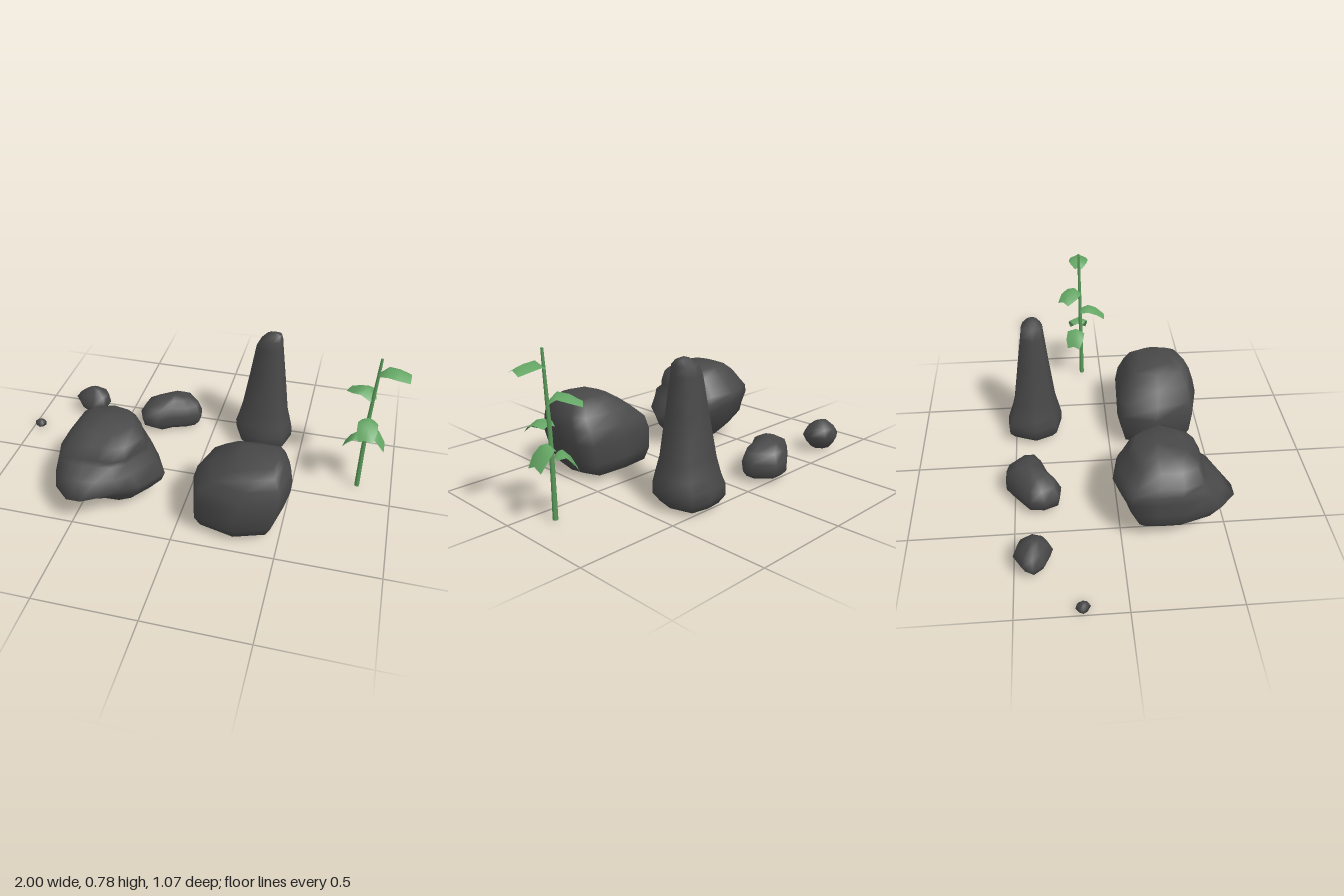
import * as THREE from 'three';

const rockMat = new THREE.MeshStandardMaterial({ color: 0x484848 });
const stemMat = new THREE.MeshStandardMaterial({ color: 0x5a995a });
const leafMat = new THREE.MeshStandardMaterial({ color: 0x64a664, side: THREE.DoubleSide });

function build(points, index, material, name) {
  const g = new THREE.BufferGeometry();
  g.setAttribute('position', new THREE.Float32BufferAttribute(points.flat(), 3));
  g.setIndex(index);
  g.computeVertexNormals();
  const mesh = new THREE.Mesh(g, material);
  mesh.name = name;
  return mesh;
}

// Rock: one plan outline [x, z] fitted into each level's box [y, x0, x1, z0, z1].
// bottom and top are the closing points; push(x, y, z) may shift a vertex.
function rock(name, plan, bottom, levels, top, push = (x, y, z) => [x, y, z]) {
  const xs = plan.map(p => p[0]), zs = plan.map(p => p[1]);
  const ax = Math.min(...xs), az = Math.min(...zs);
  const w = Math.max(...xs) - ax, d = Math.max(...zs) - az;
  const pts = [bottom], idx = [], n = plan.length;
  for (const [y, x0, x1, z0, z1] of levels)
    for (const [x, z] of plan)
      pts.push(push(x0 + (x - ax) / w * (x1 - x0), y, z0 + (z - az) / d * (z1 - z0)));
  pts.push(top);
  const last = pts.length - 1, end = last - n;
  for (let i = 0; i < n; i++) {
    const j = (i + 1) % n;
    idx.push(0, 1 + i, 1 + j, last, end + j, end + i);
    for (let k = 0; k < levels.length - 1; k++) {
      const a = 1 + k * n, b = a + n;
      idx.push(a + i, b + i, a + j, b + i, b + j, a + j);
    }
  }
  return build(pts, idx, rockMat, name);
}

// Leaf: folded strip leaving (x, z) along an angle; sections are [distance, ridge y, half width]
function leaf(name, x, z, angle, sections) {
  const c = Math.cos(angle), s = Math.sin(angle), pts = [], idx = [];
  sections.forEach(([d, y, h], k) => {
    for (const t of [-1, 0, 1])
      pts.push([x + c * d - s * h * t, y - Math.abs(t) * h * 0.45, z + s * d + c * h * t]);
    if (k) for (const i of [0, 1]) {
      const a = (k - 1) * 3 + i, b = a + 3;
      idx.push(a, a + 1, b, b, a + 1, b + 1);
    }
  });
  return build(pts, idx, leafMat, name);
}

export function createModel() {
  const model = new THREE.Group();
  model.name = 'rocksAndPlant';

  // Large creased boulder with a blunt nose at the front
  const nose = (x, y, z) => {
    const reach = Math.max(0, 0.14 - Math.abs(y - 0.185) * 1.15);
    const side = Math.max(0, 1 - Math.max(0, Math.abs(x + 0.46) - 0.05) / 0.17);
    return [x, y, z > 0.3 ? z + reach * side : z];
  };
  model.add(rock('creasedBoulder',
    [[-0.61, 0.04], [-0.52, 0], [-0.4, -0.03], [-0.24, 0], [-0.17, 0.08], [-0.1, 0.22], [-0.19, 0.36],
      [-0.26, 0.4], [-0.35, 0.4], [-0.43, 0.4], [-0.5, 0.4], [-0.58, 0.38], [-0.62, 0.28], [-0.62, 0.15]],
    [-0.36, 0.005, 0.21],
    [[0.025, -0.5, -0.24, 0.1, 0.31], [0.07, -0.57, -0.18, 0.06, 0.36], [0.13, -0.62, -0.12, 0.02, 0.38],
      [0.18, -0.62, -0.1, 0, 0.4], [0.25, -0.625, -0.15, -0.03, 0.41], [0.29, -0.62, -0.18, -0.02, 0.38],
      [0.32, -0.6, -0.19, 0, 0.39], [0.38, -0.56, -0.2, 0.04, 0.36], [0.423, -0.5, -0.26, 0.07, 0.3]],
    [-0.4, 0.437, 0.17], nose));

  // Large smooth boulder
  model.add(rock('smoothBoulder',
    [[0.1, 0.07], [0.28, 0.05], [0.47, 0.06], [0.51, 0.15], [0.53, 0.24], [0.49, 0.42],
      [0.31, 0.48], [0.1, 0.43], [0.05, 0.24]],
    [0.28, 0.003, 0.24],
    [[0.01, 0.2, 0.36, 0.17, 0.31], [0.037, 0.08, 0.47, 0.07, 0.44], [0.1, 0.05, 0.5, 0.055, 0.47],
      [0.2, 0.05, 0.525, 0.05, 0.485], [0.27, 0.07, 0.53, 0.065, 0.47], [0.33, 0.14, 0.52, 0.1, 0.45],
      [0.38, 0.22, 0.485, 0.13, 0.42], [0.403, 0.27, 0.46, 0.18, 0.36]],
    [0.36, 0.41, 0.27]));

  // Tall tapering stone
  model.add(rock('tallStone',
    [[0.19, -0.53], [0.29, -0.54], [0.4, -0.52], [0.44, -0.39], [0.41, -0.28], [0.31, -0.25],
      [0.18, -0.28], [0.13, -0.39]],
    [0.29, 0.005, -0.4],
    [[0.02, 0.17, 0.41, -0.515, -0.28], [0.06, 0.135, 0.44, -0.54, -0.25], [0.11, 0.13, 0.44, -0.535, -0.25],
      [0.16, 0.145, 0.43, -0.515, -0.262], [0.24, 0.165, 0.41, -0.495, -0.28], [0.45, 0.2, 0.385, -0.465, -0.305],
      [0.61, 0.225, 0.365, -0.442, -0.322], [0.66, 0.25, 0.36, -0.435, -0.328], [0.685, 0.28, 0.352, -0.405, -0.355]],
    [0.315, 0.696, -0.38]));

  // Low kidney-shaped stone
  model.add(rock('lowStone',
    [[-0.31, -0.49], [-0.24, -0.54], [-0.16, -0.54], [-0.08, -0.45], [-0.08, -0.39], [-0.14, -0.35],
      [-0.23, -0.32], [-0.3, -0.27], [-0.38, -0.28], [-0.41, -0.35], [-0.4, -0.42]],
    [-0.24, 0.01, -0.41],
    [[0.02, -0.36, -0.11, -0.51, -0.31], [0.05, -0.4, -0.085, -0.54, -0.28], [0.1, -0.41, -0.08, -0.54, -0.27],
      [0.15, -0.38, -0.1, -0.52, -0.3], [0.18, -0.32, -0.15, -0.48, -0.35]],
    [-0.23, 0.192, -0.42]));

  // Small stone and pebble
  const smallPlan = [[-0.79, -0.46], [-0.72, -0.5], [-0.65, -0.48], [-0.61, -0.41], [-0.63, -0.35],
    [-0.69, -0.32], [-0.78, -0.36], [-0.82, -0.41]];
  model.add(rock('smallStone', smallPlan, [-0.71, 0.008, -0.41],
    [[0.02, -0.77, -0.66, -0.455, -0.365], [0.05, -0.8, -0.635, -0.48, -0.335], [0.09, -0.82, -0.612, -0.5, -0.32],
      [0.13, -0.79, -0.63, -0.48, -0.345], [0.16, -0.75, -0.67, -0.44, -0.38]],
    [-0.71, 0.17, -0.41]));
  model.add(rock('pebble', smallPlan, [-0.967, 0.012, -0.202],
    [[0.014, -1, -0.934, -0.235, -0.168], [0.03, -0.995, -0.942, -0.228, -0.175],
      [0.041, -0.98, -0.952, -0.214, -0.188]],
    [-0.967, 0.045, -0.202]));

  // Plant: jointed stem, each segment slightly narrower than the one below
  const plant = new THREE.Group();
  plant.name = 'plant';
  const joints = [[0.828, 0.012], [0.83, 0.22], [0.834, 0.4], [0.842, 0.55], [0.85, 0.69], [0.855, 0.78]];
  for (let i = 0; i < joints.length - 1; i++) {
    const a = new THREE.Vector3(...joints[i], -0.112), b = new THREE.Vector3(...joints[i + 1], -0.112);
    const r = 0.0125 - i * 0.0012;
    const seg = new THREE.Mesh(new THREE.CylinderGeometry(r - 0.0015, r, a.distanceTo(b), 8), stemMat);
    seg.position.copy(a).lerp(b, 0.5);
    seg.quaternion.setFromUnitVectors(new THREE.Vector3(0, 1, 0), b.clone().sub(a).normalize());
    seg.name = 'stemSegment';
    plant.add(seg);
  }

  // Arching leaves
  plant.add(
    leaf('topLeaf', 0.853, -0.115, 0.04, [[0, 0.7, 0.02], [0.04, 0.735, 0.05], [0.09, 0.73, 0.053], [0.145, 0.712, 0.042]]),
    leaf('upperLeaf', 0.845, -0.118, Math.PI * 1.22, [[0, 0.55, 0.02], [0.04, 0.595, 0.05], [0.09, 0.583, 0.055], [0.145, 0.55, 0.035]]),
    leaf('frontLeaf', 0.836, -0.11, Math.PI / 2, [[0, 0.445, 0.03], [0.045, 0.464, 0.048], [0.09, 0.447, 0.048], [0.135, 0.405, 0.035]]),
    leaf('leftLeaf', 0.833, -0.125, 0, [[0, 0.35, 0.025], [0.03, 0.375, 0.05], [0.065, 0.345, 0.055], [0.098, 0.29, 0.045]]),
    leaf('rightLeaf', 0.83, -0.13, Math.PI * 1.1, [[0, 0.31, 0.025], [0.035, 0.335, 0.05], [0.07, 0.3, 0.05], [0.097, 0.25, 0.035]]));
  model.add(plant);
  return model;
}
